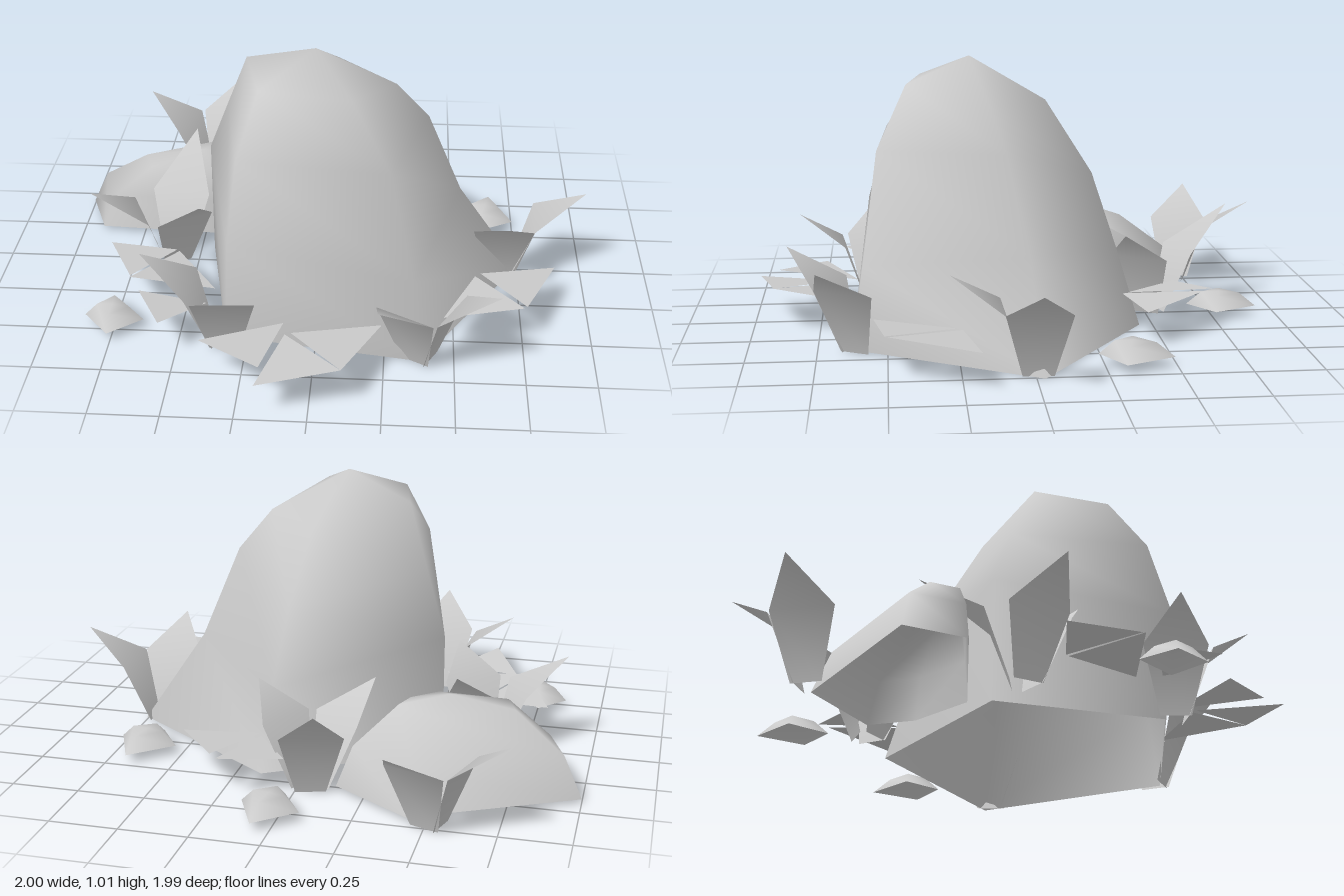
import * as THREE from 'three';

const material = new THREE.MeshStandardMaterial({ color: 0xcccccc, side: THREE.DoubleSide });

// Indexed surface with smooth normals
function surface(points, index) {
  const geo = new THREE.BufferGeometry();
  geo.setAttribute('position', new THREE.Float32BufferAttribute(points.flat(), 3));
  geo.setIndex(index);
  geo.computeVertexNormals();
  return geo;
}

// Shell through rings of [x, y, z] corners (clockwise from above), closed by an apex, open below
function rockGeometry(rings, apex) {
  const n = rings[0].length;
  const index = [];
  for (let r = 0; r < rings.length; r++) {
    for (let i = 0; i < n; i++) {
      const a = r * n + i, b = r * n + (i + 1) % n;
      if (r === rings.length - 1) index.push(a, rings.length * n, b);
      else index.push(a, a + n, b + n, a, b + n, b);
    }
  }
  return surface([...rings.flat(), apex], index);
}

// Dome grown from a ground outline of [x, z]; levels are [height, scale, forward shift], the last one the apex
function domeGeometry(outline, levels) {
  const cx = outline.reduce((s, p) => s + p[0], 0) / outline.length;
  const cz = outline.reduce((s, p) => s + p[1], 0) / outline.length;
  const rings = levels.map(([y, s, dz]) => outline.map(([x, z]) => [cx + (x - cx) * s, y, cz + dz + (z - cz) * s]));
  const apex = rings.pop()[0];
  return rockGeometry(rings, apex);
}

// Leaf beside a hub [x, z]: a steep lower blade, then a point bent outward to the tip [x, z, height]
function leafGeometry([hx, hz], [tx, tz, ty = 0.35]) {
  const len = Math.hypot(tx - hx, tz - hz);
  const dx = (tx - hx) / len, dz = (tz - hz) / len;
  const at = (along, side, y) => [hx + dx * along - dz * side, y, hz + dz * along + dx * side];
  return surface([at(0.04, -0.055, 0), at(0.04, 0.055, 0), at(0.12, 0.115, 0.235),
    [tx, ty, tz], at(0.12, -0.115, 0.235)], [0, 2, 1, 0, 4, 2, 4, 3, 2]);
}

export function createModel() {
  const model = new THREE.Group();
  const add = (name, geo, parent = model) => {
    const mesh = new THREE.Mesh(geo, material);
    mesh.name = name;
    parent.add(mesh);
  };

  // Tall five-sided boulder
  add('boulder', rockGeometry([
    [[-0.45, 0, -0.1], [0.16, 0, -0.45], [0.76, 0, -0.03], [0.38, 0, 0.63], [-0.33, 0, 0.52]],
    [[-0.45, 0.46, -0.1], [0.14, 0.3, -0.36], [0.52, 0.36, 0], [0.35, 0.3, 0.585], [-0.31, 0.42, 0.565]],
    [[-0.365, 0.69, -0.02], [0.1, 0.58, -0.27], [0.39, 0.7, 0.07], [0.26, 0.7, 0.53], [-0.28, 0.71, 0.49]],
    [[-0.28, 0.92, 0.07], [0.05, 0.85, -0.1], [0.27, 0.85, 0.12], [0.12, 0.92, 0.42], [-0.21, 0.92, 0.36]],
  ], [-0.02, 1.01, 0.18]));

  // Low rock beside it
  add('lowRock', domeGeometry(
    [[-1, -0.42], [-0.43, -0.71], [-0.14, -0.52], [-0.2, -0.35], [-0.39, -0.18], [-0.92, -0.21]],
    [[0.015, 1, 0], [0.16, 0.86, 0.02], [0.29, 0.48, 0.08], [0.325, 0, 0.08]]));

  // Pebbles
  const pebbles = [
    [[-0.86, 0.46], [-0.76, 0.35], [-0.64, 0.48], [-0.76, 0.58]],
    [[0.52, -0.36], [0.67, -0.49], [0.75, -0.31], [0.61, -0.23]],
    [[-0.08, -0.8], [0.06, -0.92], [0.14, -0.75], [0.01, -0.66]],
  ];
  for (const p of pebbles) add('pebble', domeGeometry(p, [[0.035, 1, 0], [0.085, 0.55, 0], [0.09, 0, 0]]));

  // Leaf tufts: hub followed by leaf tips
  const tufts = [
    [[-0.515, -0.71], [-0.8, -0.8], [-0.41, -1]],
    [[-0.6, -0.01], [-0.54, -0.36, 0.4], [-0.89, 0.11], [-0.46, 0.2]],
    [[-0.045, -0.52], [-0.14, -0.84, 0.4], [-0.23, -0.28], [0.18, -0.39]],
    [[0.69, -0.01], [1, 0], [0.69, 0.29]],
    [[0.38, 0.6], [0.65, 0.74], [0.23, 0.86]],
    [[-0.33, 0.55], [-0.31, 0.84], [-0.63, 0.53]],
  ];
  for (const [hub, ...tips] of tufts) {
    const tuft = new THREE.Group();
    tuft.name = 'leafTuft';
    for (const tip of tips) add('leaf', leafGeometry(hub, tip), tuft);
    model.add(tuft);
  }

  // Nearly level three-cornered leaves around the boulder: [x, z] at the stem, side and outer end
  const heights = [0.13, 0.135, 0.16];
  const groundLeaves = [
    [[-0.1, 0.68], [-0.18, 0.99], [0.11, 0.92]],
    [[-0.08, 0.67], [0.24, 0.61], [0.11, 0.92]],
    [[-0.11, 0.61], [-0.4, 0.74], [-0.17, 0.92]],
    [[-0.4, 0.5], [-0.66, 0.44], [-0.55, 0.68]],
    [[0.6, 0.24], [0.88, 0.19], [0.76, 0.5]],
    [[0.58, 0.26], [0.46, 0.55], [0.75, 0.51]],
    [[-0.55, 0.15], [-0.38, 0.41], [-0.7, 0.39]],
    [[-0.56, 0.14], [-0.82, 0.11], [-0.7, 0.38]],
    [[0.18, -0.38], [0.46, -0.43], [0.28, -0.67]],
    [[0.17, -0.4], [0.03, -0.6], [0.25, -0.71]],
  ];
  for (const leaf of groundLeaves) {
    add('groundLeaf', surface(leaf.map(([x, z], i) => [x, heights[i], z]), [0, 1, 2]));
  }
  return model;
}
